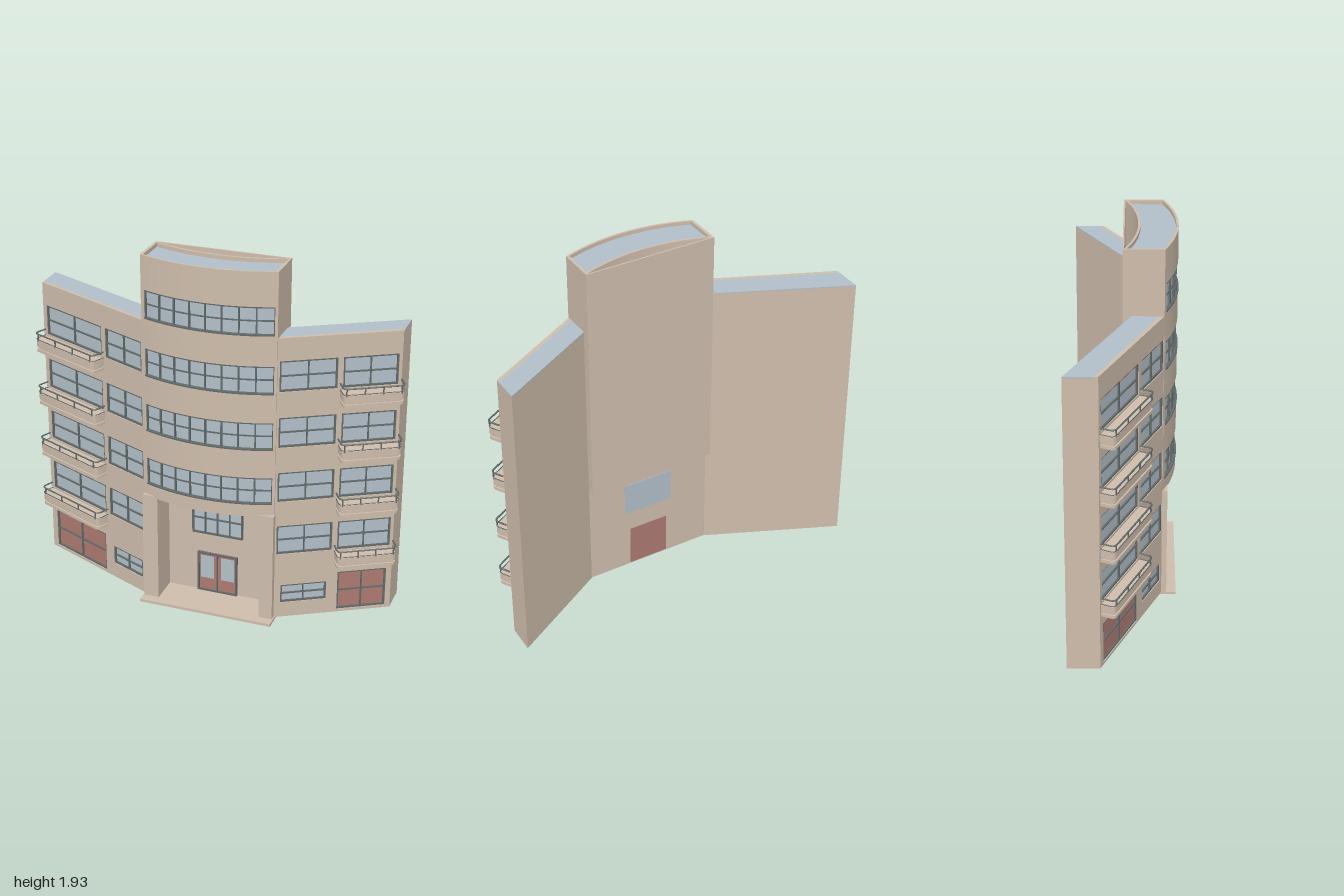
import * as THREE from 'three';
import { mergeGeometries, toCreasedNormals } from 'three/addons/utils/BufferGeometryUtils.js';

const mat = (name, color) => {
  const m = new THREE.MeshStandardMaterial({ color });
  m.name = name;
  return m;
};

export function createModel() {
  const wall = mat('stone wall', 0xcebdac);
  const glass = mat('blue grey glass and roofing', 0xb2bfc8);
  const red = mat('red door', 0xad7a72);
  const dark = mat('dark metal frame', 0x626a6a);
  const model = new THREE.Group();
  model.name = 'apartmentBuilding';

  const add = (parent, name, geo, material) => {
    const mesh = new THREE.Mesh(geo, material);
    mesh.name = name;
    parent.add(mesh);
  };
  const addGroup = (parent, name) => {
    const g = new THREE.Group();
    g.name = name;
    parent.add(g);
    return g;
  };
  // Box given by its limits
  const box = (x0, x1, y0, y1, z0, z1) =>
    new THREE.BoxGeometry(x1 - x0, y1 - y0, z1 - z0)
      .translate((x0 + x1) / 2, (y0 + y1) / 2, (z0 + z1) / 2);
  // Vertical prism over a plan outline of [x, z] points
  const prism = (plan, y0, y1) => {
    const shape = new THREE.Shape(plan.map(([x, z]) => new THREE.Vector2(x, -z)));
    const geo = new THREE.ExtrudeGeometry(shape, { depth: y1 - y0, bevelEnabled: false });
    return toCreasedNormals(geo.rotateX(-Math.PI / 2).translate(0, y0, 0), 0.5);
  };
  // Bars around and across an opening
  const frame = (x0, x1, y0, y1, cols, rows, z, w = 0.009) => {
    const bars = [];
    for (let i = 0; i <= cols; i++) {
      const h = i % cols ? w * 0.35 : w / 2;
      const x = x0 + w / 2 + ((x1 - x0 - w) * i) / cols;
      bars.push(box(x - h, x + h, y0, y1, z, z + 0.016));
    }
    for (let j = 0; j <= rows; j++) {
      const h = j % rows ? w * 0.35 : w / 2;
      const y = y0 + w / 2 + ((y1 - y0 - w) * j) / rows;
      bars.push(box(x0, x1, y - h, y + h, z, z + 0.0155));
    }
    return mergeGeometries(bars);
  };
  const opening = (parent, name, x0, x1, y0, y1, cols, material, z, rows = 2) => {
    const g = addGroup(parent, name);
    add(g, name + 'Panel', box(x0, x1, y0, y1, z - 0.001, z + 0.006), material);
    add(g, name + 'Frame', frame(x0, x1, y0, y1, cols, rows, z), dark);
  };

  // Balcony outline with rounded outer corners
  const outline = (u0, u1, d, r) => {
    const pts = [[u0, 0]];
    for (const [cx, start] of [[u0 + r, Math.PI], [u1 - r, Math.PI / 2]])
      for (let i = 0; i <= 5; i++) {
        const a = start - (i / 5) * Math.PI / 2;
        pts.push([cx + r * Math.cos(a), d - r + r * Math.sin(a)]);
      }
    pts.push([u1, 0]);
    return pts;
  };
  const balcony = (parent, u0, u1, y) => {
    const g = addGroup(parent, 'balcony');
    const pts = outline(u0, u1, 0.075, 0.022);
    const inner = outline(u0 + 0.008, u1 - 0.008, 0.067, 0.02);
    add(g, 'balconySlab', prism(pts, y + 0.028, y + 0.066), wall);
    add(g, 'balconyNeck', prism(inner, y + 0.014, y + 0.03), wall);
    add(g, 'balconyLowerSlab', prism(pts, y, y + 0.016), wall);
    const parts = [];
    for (const [h, r] of [[0.102, 0.0045], [0.07, 0.0025]]) {
      const curve = new THREE.CatmullRomCurve3(
        pts.map(([u, z]) => new THREE.Vector3(u, y + h, z)), false, 'catmullrom', 0);
      parts.push(new THREE.TubeGeometry(curve, 48, r, 6));
    }
    for (const t of [0.05, 0.35, 0.65, 0.95]) {
      const u = u0 + (u1 - u0) * t;
      parts.push(box(u - 0.003, u + 0.003, y + 0.06, y + 0.102, 0.069, 0.075));
    }
    add(g, 'balconyRailing', mergeGeometries(parts), dark);
  };

  // Angled wings: pierced front wall from a to b, openings given by their x limits
  const floors = [0.385, 0.69, 0.995, 1.3];
  const SKIN = 0.02;
  const wing = (name, a, b, backA, backB, o) => {
    const g = addGroup(model, name);
    const angle = Math.atan2(b[1] - a[1], b[0] - a[0]);
    const c = Math.cos(angle), s = Math.sin(angle);
    const [a1, b1] = [a, b].map(([x, z]) => [x, z - SKIN / c]);
    const plan = [a1, b1, backB, backA];
    add(g, name + 'Walls', prism(plan, 0.01, 1.58), wall);
    add(g, name + 'Roof', prism(plan, 1.58, 1.586), glass);
    // Slivers squaring off the ends of the front wall
    for (const [p, q] of [[a, a1], [b, b1]])
      add(g, name + 'Corner', prism([p, q, [p[0] + SKIN * s, p[1] - SKIN * c]], 0.01, 1.586), wall);

    const front = addGroup(g, name + 'Front');
    front.position.set(a[0], 0, a[1]);
    front.rotation.y = -angle;
    const u = x => (x - a[0]) / c;
    const L = u(b[0]);
    const shape = new THREE.Shape();
    shape.moveTo(0, 0.01).lineTo(L, 0.01).lineTo(L, 1.586).lineTo(0, 1.586).closePath();
    const pierce = (part, [x0, x1], y0, y1, material) => {
      const hole = new THREE.Path();
      hole.moveTo(u(x0), y0).lineTo(u(x0), y1).lineTo(u(x1), y1).lineTo(u(x1), y0).closePath();
      shape.holes.push(hole);
      opening(front, part, u(x0), u(x1), y0, y1, 2, material, -SKIN);
    };
    for (const y of floors) {
      for (const limits of o.windows) pierce('wingWindow', limits, y, y + 0.165, glass);
      balcony(front, u(o.balcony[0]), u(o.balcony[1]), y - 0.077);
    }
    pierce('garageDoor', o.garage, 0.025, 0.25, red);
    pierce('lowWindow', o.low, 0.095, 0.2, glass);
    const skin = new THREE.ExtrudeGeometry(shape, { depth: SKIN, bevelEnabled: false });
    add(front, name + 'FrontWall', skin.translate(0, 0, -SKIN), wall);
  };
  wing('rightWing', [-0.98, -0.105], [-0.29, 0.2], [-0.98, -0.27], [-0.29, 0.04], {
    windows: [[-0.958, -0.568], [-0.543, -0.297]], balcony: [-0.97, -0.558],
    garage: [-0.948, -0.578], low: [-0.522, -0.315],
  });
  wing('leftWing', [0.42, 0.194], [0.964, -0.12], [0.42, 0.04], [0.964, -0.275], {
    windows: [[0.43, 0.683], [0.707, 0.95]], balcony: [0.695, 0.964],
    garage: [0.714, 0.94], low: [0.452, 0.663],
  });

  // Curved central tower
  const tower = addGroup(model, 'centralTower');
  const X0 = -0.291, X1 = 0.419, MID = 0.064, R = 0.935;
  const curveZ = x => 0.27 - R + Math.sqrt(R * R - (x - MID) ** 2);
  const curved = (frontOff, backOff, x0, x1, y0, y1) => {
    const plan = [], n = 28;
    for (let i = 0; i <= n; i++) {
      const x = x0 + ((x1 - x0) * i) / n;
      plan.push([x, curveZ(x) + frontOff]);
    }
    for (let i = n; i >= 0; i--) {
      const x = x0 + ((x1 - x0) * i) / n;
      plan.push([x, curveZ(x) + backOff]);
    }
    return prism(plan, y0, y1);
  };
  const bands = [[0.68, 0.83], [0.985, 1.135], [1.29, 1.44], [1.6, 1.75]];
  const W0 = X0 + 0.02, W1 = X1 - 0.012;
  let y = 0.61;
  for (const [y0, y1] of [...bands, [1.905, 1.905]]) {
    add(tower, 'curvedWall', curved(0, -0.2, X0, X1, y, y0), wall);
    y = y1;
  }
  for (const [y0, y1] of bands) {
    add(tower, 'bandCore', curved(-0.025, -0.2, X0, X1, y0, y1), wall);
    add(tower, 'bandGlass', curved(-0.016, -0.0245, W0, W1, y0, y1), glass);
    add(tower, 'bandJamb', curved(0, -0.03, X0, W0, y0, y1), wall);
    add(tower, 'bandJamb', curved(0, -0.03, W1, X1, y0, y1), wall);
    const bars = [
      curved(0.004, -0.018, W0, W1, y0, y0 + 0.007),
      curved(-0.002, -0.018, W0, W1, y1 - 0.007, y1),
      curved(-0.009, -0.018, W0, W1, (y0 + y1) / 2 - 0.003, (y0 + y1) / 2 + 0.003),
    ];
    for (let i = 0; i <= 8; i++) {
      const x = W0 + 0.004 + ((W1 - W0 - 0.008) * i) / 8;
      const post = new THREE.BoxGeometry(0.008, y1 - y0, 0.012).toNonIndexed();
      bars.push(post.rotateY(Math.asin((x - MID) / R)).translate(x, (y0 + y1) / 2, curveZ(x) - 0.012));
    }
    add(tower, 'bandFrame', mergeGeometries(bars), dark);
  }
  // Recessed roof, parapets, side walls and free-standing flat back wall
  add(tower, 'towerRoof', curved(-0.012, -0.188, X0, X1, 1.905, 1.91), glass);
  add(tower, 'frontParapet', curved(0, -0.012, X0, X1, 1.905, 1.93), wall);
  add(tower, 'backParapet', curved(-0.188, -0.2, X0, X1, 1.905, 1.93), wall);
  add(tower, 'sideWall', box(X0 - 0.001, X0 + 0.014, 0.605, 1.93, 0, 0.2), wall);
  add(tower, 'sideWall', box(X1 - 0.014, X1 + 0.001, 0.605, 1.93, 0, 0.2), wall);
  add(tower, 'backWall', box(X0 - 0.001, X1 + 0.001, 0.605, 1.93, -0.004, 0.004), wall);

  // Recessed entrance between two piers
  const entrance = addGroup(model, 'entrance');
  add(entrance, 'entranceWall', box(X0, 0.42, 0.01, 0.612, 0.042, 0.062), wall);
  add(entrance, 'pier', box(-0.294, -0.211, 0.01, 0.62, 0.045, 0.225), wall);
  add(entrance, 'pier', box(0.35, 0.423, 0.01, 0.62, 0.045, 0.225), wall);
  add(entrance, 'entranceStep', box(-0.298, 0.43, 0, 0.015, 0.055, 0.275), wall);
  opening(entrance, 'entranceWindow', -0.074, 0.207, 0.365, 0.55, 4, glass, 0.062);
  opening(entrance, 'entranceDoor', -0.045, 0.177, 0.017, 0.25, 2, red, 0.062, 1);
  for (const x of [-0.028, 0.086])
    add(entrance, 'doorGlass', box(x, x + 0.074, 0.095, 0.228, 0.064, 0.071), glass);
  add(entrance, 'rearWindow', box(-0.074, 0.207, 0.365, 0.55, 0.039, 0.044), glass);
  add(entrance, 'rearDoor', box(-0.045, 0.177, 0.017, 0.25, 0.039, 0.044), red);

  return model;
}
